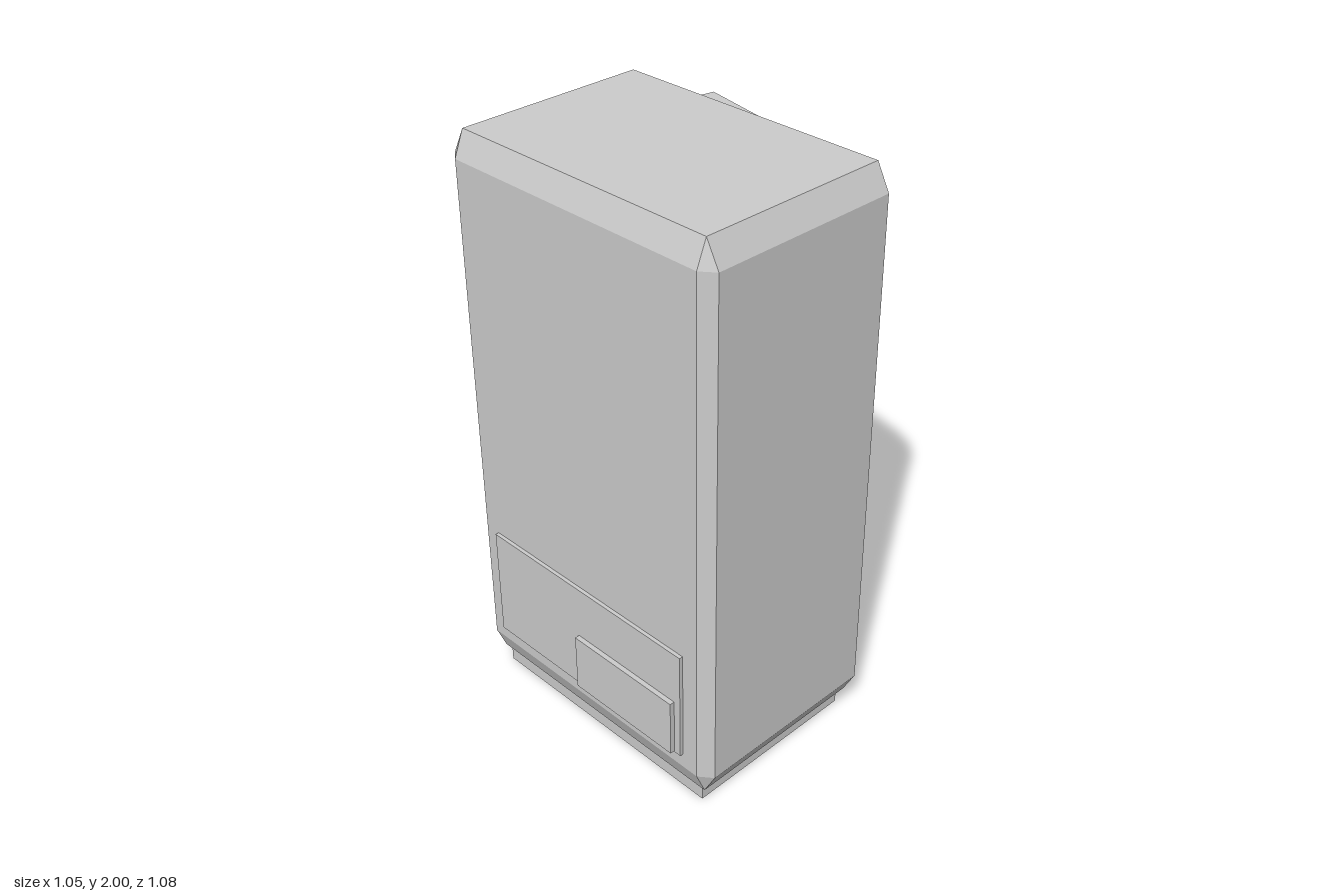
import * as THREE from 'three';
import { ConvexGeometry } from 'three/addons/geometries/ConvexGeometry.js';

const material = new THREE.MeshStandardMaterial({ color: 0xcccccc, flatShading: true });

function add(parent, name, geometry) {
  const mesh = new THREE.Mesh(geometry, material);
  mesh.name = name;
  parent.add(mesh);
  return mesh;
}

// Box given by its low and high corners
function box(parent, name, [x0, y0, z0], [x1, y1, z1]) {
  const g = new THREE.BoxGeometry(x1 - x0, y1 - y0, z1 - z0);
  g.translate((x0 + x1) / 2, (y0 + y1) / 2, (z0 + z1) / 2);
  return add(parent, name, g);
}

// Rectangle with cut corners, c wide and e high
function cutRect(x0, x1, y0, y1, c = 0, e = c, Type = THREE.Shape) {
  const points = c === 0
    ? [[x0, y0], [x1, y0], [x1, y1], [x0, y1]]
    : [[x0 + c, y0], [x1 - c, y0], [x1, y0 + e], [x1, y1 - e],
      [x1 - c, y1], [x0 + c, y1], [x0, y1 - e], [x0, y0 + e]];
  return new Type(points.map(([x, y]) => new THREE.Vector2(x, y)));
}

// Extrude an outline drawn in (-z, y) along +x, starting at x
function extrudeX(shape, x, depth) {
  return new THREE.ExtrudeGeometry(shape, { depth, bevelEnabled: false })
    .rotateY(Math.PI / 2).translate(x, 0, 0);
}

// Bevelled cabinet shell, left open on the door side
function cabinetShell() {
  const center = [-0.12, 1.03, 0], half = [0.37, 0.97, 0.54], bevel = [0.035, 0.085, 0.045];
  const points = [];
  for (let face = 0; face < 3; face++)
    for (const sx of [-1, 1]) for (const sy of [-1, 1]) for (const sz of [-1, 1]) {
      const p = [sx, sy, sz].map((s, i) => center[i] + s * (half[i] - (i === face ? 0 : bevel[i])));
      points.push(new THREE.Vector3(...p));
    }
  const hull = new ConvexGeometry(points).getAttribute('position').array;
  const kept = [];
  for (let i = 0; i < hull.length; i += 9) {
    const onDoorSide = [0, 3, 6].every((k) => hull[i + k] > 0.249);
    if (!onDoorSide) kept.push(...hull.slice(i, i + 9));
  }
  const g = new THREE.BufferGeometry();
  g.setAttribute('position', new THREE.Float32BufferAttribute(kept, 3));
  g.computeVertexNormals();
  return g;
}

// C-shaped pull handle with its foot at x
function addHandle(parent, name, x, y0, y1, z) {
  const s = cutRect(x, x + 0.066, y0, y1);
  s.holes.push(cutRect(x, x + 0.036, y0 + 0.043, y1 - 0.043, 0, 0, THREE.Path));
  // The grip is one outline: foot, bar, foot
  const c = new THREE.Shape([
    [x, y0], [x + 0.066, y0], [x + 0.066, y1], [x, y1],
    [x, y1 - 0.043], [x + 0.036, y1 - 0.043], [x + 0.036, y0 + 0.043], [x, y0 + 0.043],
  ].map(([a, b]) => new THREE.Vector2(a, b)));
  add(parent, name, new THREE.ExtrudeGeometry(c, { depth: 0.05, bevelEnabled: false }).translate(0, 0, z));
}

export function createModel() {
  const model = new THREE.Group();
  model.name = 'refrigerator';

  // Cabinet and the door frame with the freezer compartment cut into it
  const cabinet = new THREE.Group();
  cabinet.name = 'cabinet';
  model.add(cabinet);
  add(cabinet, 'cabinetShell', cabinetShell());
  const frame = cutRect(-0.495, 0.495, 0.145, 1.915);
  frame.holes.push(cutRect(-0.455, 0.44, 1.265, 1.91, 0.1, 0.09, THREE.Path));
  add(cabinet, 'freezerCompartment', extrudeX(frame, -0.3, 0.55));
  box(cabinet, 'freezerBackWall', [-0.32, 1.2, -0.48], [-0.3, 1.915, 0.48]);

  // Hollow plinth
  const plinth = cutRect(-0.445, 0.2, -0.475, 0.475);
  plinth.holes.push(cutRect(-0.41, 0.165, -0.44, 0.44, 0, 0, THREE.Path));
  add(model, 'plinth', new THREE.ExtrudeGeometry(plinth, { depth: 0.065, bevelEnabled: false })
    .rotateX(-Math.PI / 2));

  // Lower door
  const lowerDoor = new THREE.Group();
  lowerDoor.name = 'lowerDoor';
  model.add(lowerDoor);
  add(lowerDoor, 'lowerDoorPanel', extrudeX(cutRect(-0.445, 0.44, 0.21, 1.275, 0.04, 0.05), 0.25, 0.063));
  addHandle(lowerDoor, 'lowerDoorHandle', 0.313, 0.975, 1.19, -0.385);

  // Freezer door, ajar about its hinge side
  const freezerDoor = new THREE.Group();
  freezerDoor.name = 'freezerDoor';
  freezerDoor.position.set(0.25, 0, 0.412);
  freezerDoor.rotation.y = -0.19;
  model.add(freezerDoor);
  add(freezerDoor, 'freezerDoorPanel', extrudeX(cutRect(0, 0.878, 1.285, 1.885, 0.045, 0.03), 0, 0.065));
  addHandle(freezerDoor, 'freezerDoorHandle', 0.065, 1.43, 1.645, -0.81);

  // Hinges
  for (const [y0, y1, z0] of [[0.32, 0.46, 0.44], [1.06, 1.205, 0.44], [1.36, 1.5, 0.425], [1.68, 1.83, 0.425]])
    box(model, 'hinge', [0.24, y0, z0], [0.29, y1, 0.475]);

  // Service panels on the rear
  box(model, 'rearPanel', [-0.503, 0.2, -0.437], [-0.48, 0.6, 0.435]);
  box(model, 'rearCover', [-0.52, 0.205, -0.03], [-0.49, 0.41, 0.41]);

  return model;
}
